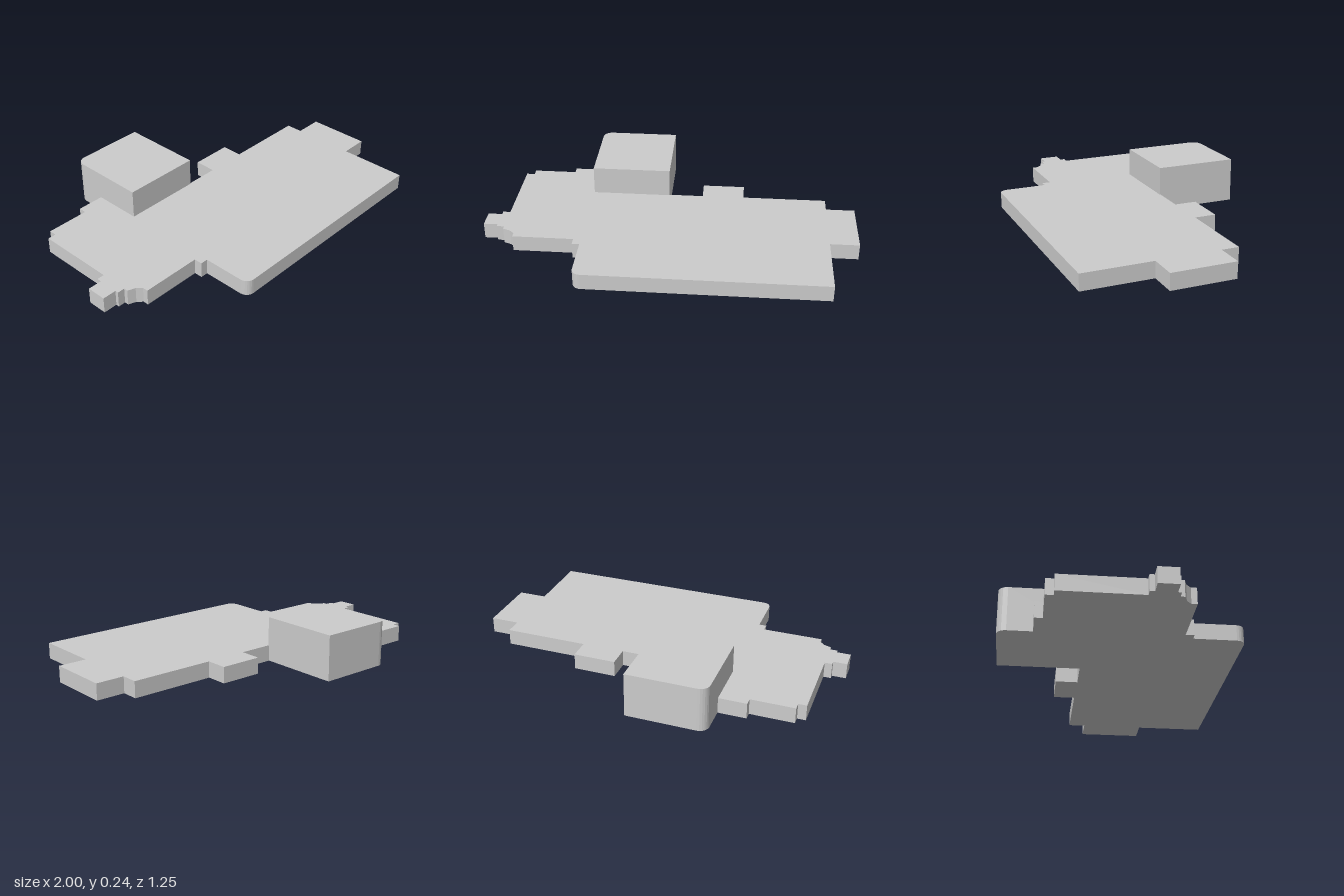
import * as THREE from 'three';

const material = new THREE.MeshStandardMaterial({ color: 0xcccccc, flatShading: true });

// Extrude a floor outline, given as [x, z] corners, up from the ground
function extrudePlan(name, corners, height) {
  const shape = new THREE.Shape(corners.map(([x, z]) => new THREE.Vector2(x, -z)));
  const geometry = new THREE.ExtrudeGeometry(shape, { depth: height, bevelEnabled: false });
  geometry.rotateX(-Math.PI / 2);
  const mesh = new THREE.Mesh(geometry, material);
  mesh.name = name;
  return mesh;
}

// Corner points of a quarter round, from angle a0 to a1
function roundCorner(cx, cz, r, a0, a1, steps = 6) {
  return Array.from({ length: steps + 1 }, (_, i) => {
    const a = a0 + ((a1 - a0) * i) / steps;
    return [cx + r * Math.cos(a), cz + r * Math.sin(a)];
  });
}

export function createModel() {
  const group = new THREE.Group();
  group.name = 'building';

  // Low main floor with stepped bays around its edge
  group.add(extrudePlan('mainFloor', [
    [-1, 0.095], [-0.925, 0.095], [-0.925, 0.07], [-0.885, 0.07],
    [-0.885, -0.36], [-0.84, -0.36], [-0.84, -0.402], [-0.605, -0.402],
    [-0.605, -0.445], [-0.455, -0.445], [-0.455, -0.185],
    [0.16, -0.185], [0.16, -0.305], [0.39, -0.305], [0.39, -0.188],
    [0.845, -0.188], [0.845, -0.095], [1, -0.095], [1, 0.25], [0.845, 0.25],
    [0.845, 0.625],
    ...roundCorner(-0.41, 0.58, 0.045, Math.PI / 2, Math.PI),
    [-0.455, 0.355], [-0.495, 0.355], [-0.495, 0.31], [-0.82, 0.31],
    [-0.82, 0.28], [-0.845, 0.255], [-0.885, 0.24], [-0.885, 0.218],
    [-0.925, 0.218], [-0.925, 0.2], [-1, 0.2],
  ], 0.087));

  // Tall hall at the back with one rounded corner
  group.add(extrudePlan('tallHall', [
    ...roundCorner(-0.405, -0.578, 0.05, Math.PI, 1.5 * Math.PI),
    [-0.027, -0.628], [-0.027, -0.18], [-0.455, -0.18],
  ], 0.242));

  return group;
}
